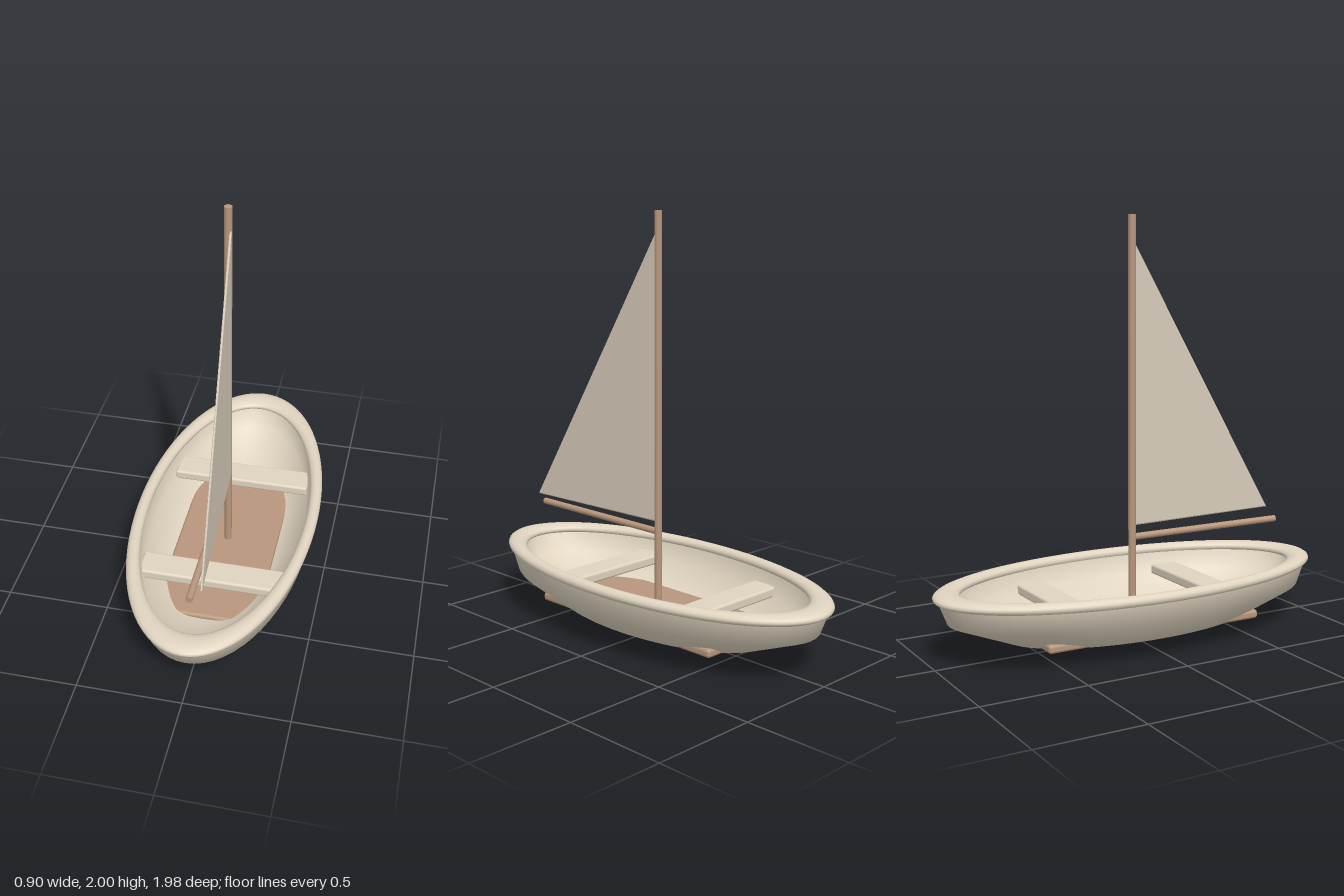
import * as THREE from 'three';
import { RoundedBoxGeometry } from 'three/addons/geometries/RoundedBoxGeometry.js';

const paint = new THREE.MeshStandardMaterial({ color: 0xe0d4c0 });
const wood = new THREE.MeshStandardMaterial({ color: 0xb8967c });
const cloth = new THREE.MeshStandardMaterial({ color: 0xd8cdbb });
const BEAM = 0.455; // width to length ratio of the hull

export function createModel() {
  const boat = new THREE.Group();
  boat.name = 'sailboat';

  const add = (name, geometry, material, x = 0, y = 0, z = 0) => {
    const mesh = new THREE.Mesh(geometry, material);
    mesh.name = name;
    mesh.position.set(x, y, z);
    boat.add(mesh);
    return mesh;
  };

  // Elliptical shell: a turned profile narrowed across the beam
  const shell = (name, profile) => {
    const points = profile.map(([r, y]) => new THREE.Vector2(r, y));
    add(name, new THREE.LatheGeometry(points, 64).scale(BEAM, 1, 1), paint);
  };
  shell('hullOutside', [[0, 0.005], [0.3, 0.022], [0.64, 0.075], [0.925, 0.19], [0.97, 0.3]]);
  shell('hullInside', [[0.88, 0.31], [0.83, 0.2], [0.58, 0.1], [0.3, 0.06], [0, 0.05]]);

  // Rounded rail around the top edge
  const rail = new THREE.TorusGeometry(0.927, 0.065, 16, 80);
  rail.rotateX(Math.PI / 2).scale(BEAM, 0.4, 1);
  add('rail', rail, paint, 0, 0.31, 0);

  // Floor, whose corners come through the hull
  add('floor', new RoundedBoxGeometry(0.5, 0.042, 1.12, 3, 0.015), wood, 0, 0.096, 0);

  // Two benches
  for (const [name, z] of [['frontBench', 0.38], ['rearBench', -0.38]]) {
    add(name, new RoundedBoxGeometry(0.7, 0.05, 0.14, 3, 0.012), paint, 0, 0.218, z);
  }

  // Mast and boom
  add('mast', new THREE.CylinderGeometry(0.018, 0.018, 1.9, 24), wood, 0, 1.05, 0);
  const boom = new THREE.CylinderGeometry(0.016, 0.016, 0.83, 24).rotateX(Math.PI / 2);
  add('boom', boom, wood, 0, 0.492, 0.415);

  // Thin triangular sail, swung slightly to one side
  const outline = new THREE.Shape([
    new THREE.Vector2(-0.01, 0.55),
    new THREE.Vector2(-0.81, 0.55),
    new THREE.Vector2(-0.01, 1.885),
  ]);
  const sail = new THREE.ExtrudeGeometry(outline, {
    depth: 0.004, bevelThickness: 0.003, bevelSize: 0.006, bevelSegments: 1,
  });
  sail.translate(0, 0, -0.002).rotateY(Math.PI / 2);
  add('sail', sail, cloth, 0.012, 0, 0).rotation.y = 0.05;

  return boat;
}
